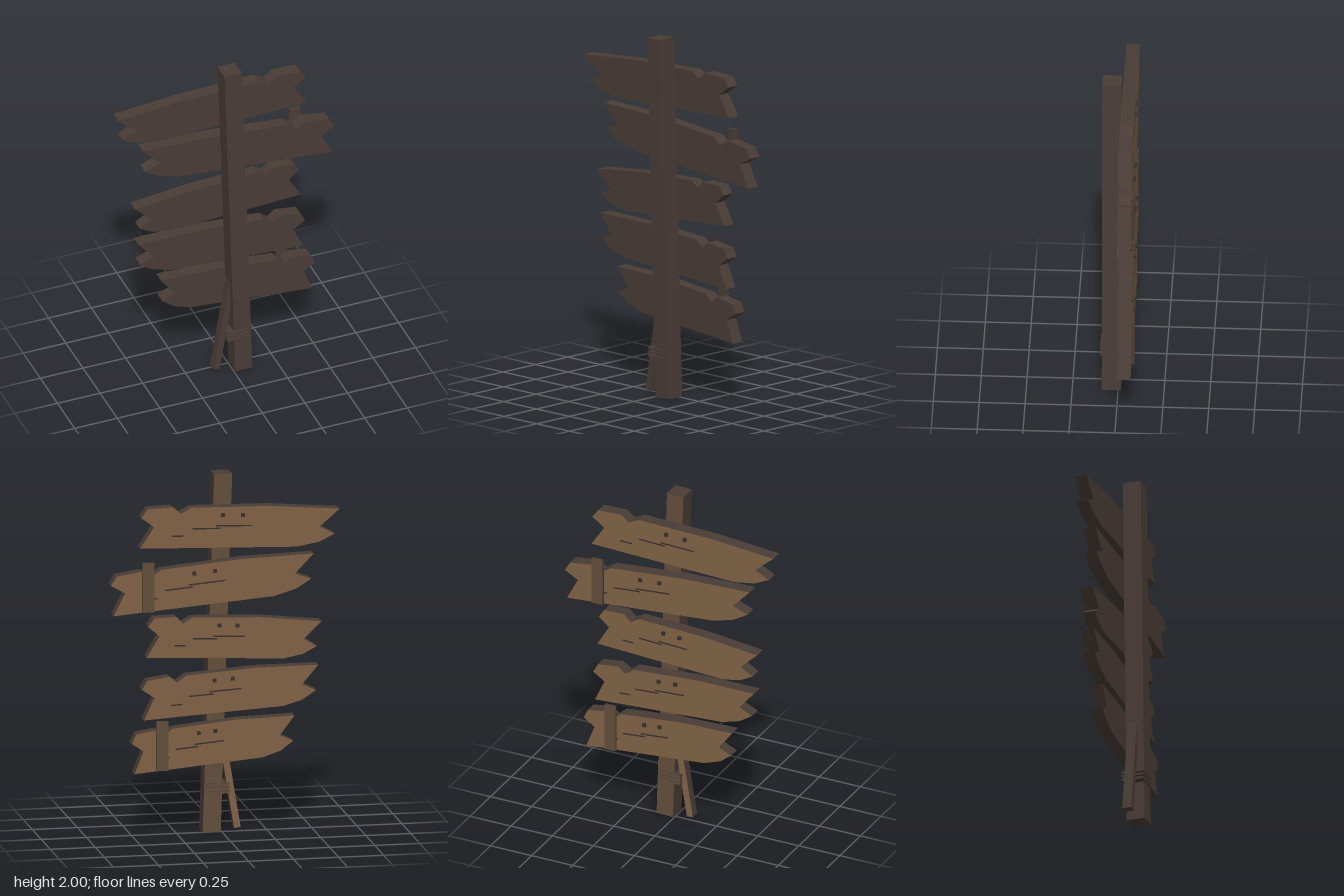
import * as THREE from 'three';

const mat = (name, color) => {
  const m = new THREE.MeshStandardMaterial({ color });
  m.name = name;
  return m;
};

// Splits a geometry into two material groups: back faces (1) and all others (0)
function splitBack(source) {
  const geo = source.index ? source.toNonIndexed() : source;
  geo.clearGroups();
  const normal = geo.attributes.normal;
  for (let i = 0; i < normal.count; i += 3) {
    geo.addGroup(i, 3, normal.getZ(i) < -0.5 ? 1 : 0);
  }
  return geo;
}

export function createModel() {
  const model = new THREE.Group();
  model.name = 'signpost';

  const darkWood = mat('dark wood', 0x493c36);
  const plankWood = mat('plank wood', 0x7f6144);
  const postWood = mat('post wood', 0x624d3a);
  const iron = mat('dark iron', 0x382f2a);

  function box(parent, name, size, pos, material, angle = 0) {
    const geo = new THREE.BoxGeometry(...size);
    const mesh = new THREE.Mesh(Array.isArray(material) ? splitBack(geo) : geo, material);
    mesh.name = name;
    mesh.position.set(...pos);
    mesh.rotation.z = angle;
    parent.add(mesh);
    return mesh;
  }

  // Leaning post and its brace
  box(model, 'post', [0.1, 1.997, 0.104], [0.026, 1, 0.037], [darkWood, postWood], 0.0318);
  box(model, 'brace', [0.037, 0.56, 0.052], [-0.042, 0.295, 0.026], [darkWood, plankWood], -0.165);

  // Lashing around post and brace
  for (let i = 0; i < 3; i++) {
    box(model, 'lashing', [0.128, 0.013, 0.124], [0.022, 0.223 + i * 0.022, 0.036], [darkWood, postWood]);
  }

  // Board outline: x is a fraction of the bottom edge, y is in units
  const outline = [
    [0, 0], [1, 0], [0.915, 0.12], [1, 0.17], [0.96, 0.219], [0.8, 0.228], [0.745, 0.192],
    [0.68, 0.225], [0.18, 0.229], [-0.267, 0.209], [-0.143, 0.11], [-0.24, 0.07], [-0.14, 0.025],
  ];
  const backZ = -0.085;
  const thickness = 0.071;

  // x, y of the lower left corner, bottom length, tilt in degrees
  const boards = [
    [-0.4, 1.59, 0.869, 1.75],
    [-0.273, 1.32, 0.893, -4.76],
    [-0.326, 0.97, 0.759, 2.8],
    [-0.326, 0.705, 0.775, -3.5],
    [-0.215, 0.424, 0.718, -5.1],
  ];
  // Cracks: start and end fraction, height
  const cracks = [[0.72, 0.8, 0.068], [0.49, 0.67, 0.108], [0.29, 0.52, 0.122]];

  for (const [x, y, length, tilt] of boards) {
    const sign = new THREE.Group();
    sign.name = 'signBoard';
    sign.position.set(x, y, backZ);
    sign.rotation.z = THREE.MathUtils.degToRad(tilt);
    model.add(sign);

    const shape = new THREE.Shape(outline.map(([u, v]) => new THREE.Vector2(u * length, v)));
    const geo = new THREE.ExtrudeGeometry(shape, { depth: thickness, bevelEnabled: false });
    const plank = new THREE.Mesh(splitBack(geo), [darkWood, plankWood]);
    plank.name = 'plank';
    sign.add(plank);

    for (const u of [0.35, 0.48]) {
      box(sign, 'nail', [0.019, 0.019, 0.014], [u * length, 0.183, -0.007], iron);
    }
    for (const [a, b, v] of cracks) {
      box(sign, 'crack', [(b - a) * length, 0.007, 0.004], [(a + b) / 2 * length, v, -0.001], iron);
    }
  }

  // Upright battens nailed over two of the boards
  for (const [x, y] of [[0.426, 1.4], [0.348, 0.513]]) {
    box(model, 'batten', [0.066, 0.276, 0.015], [x, y, backZ - 0.0085], [darkWood, postWood]);
  }

  return model;
}
